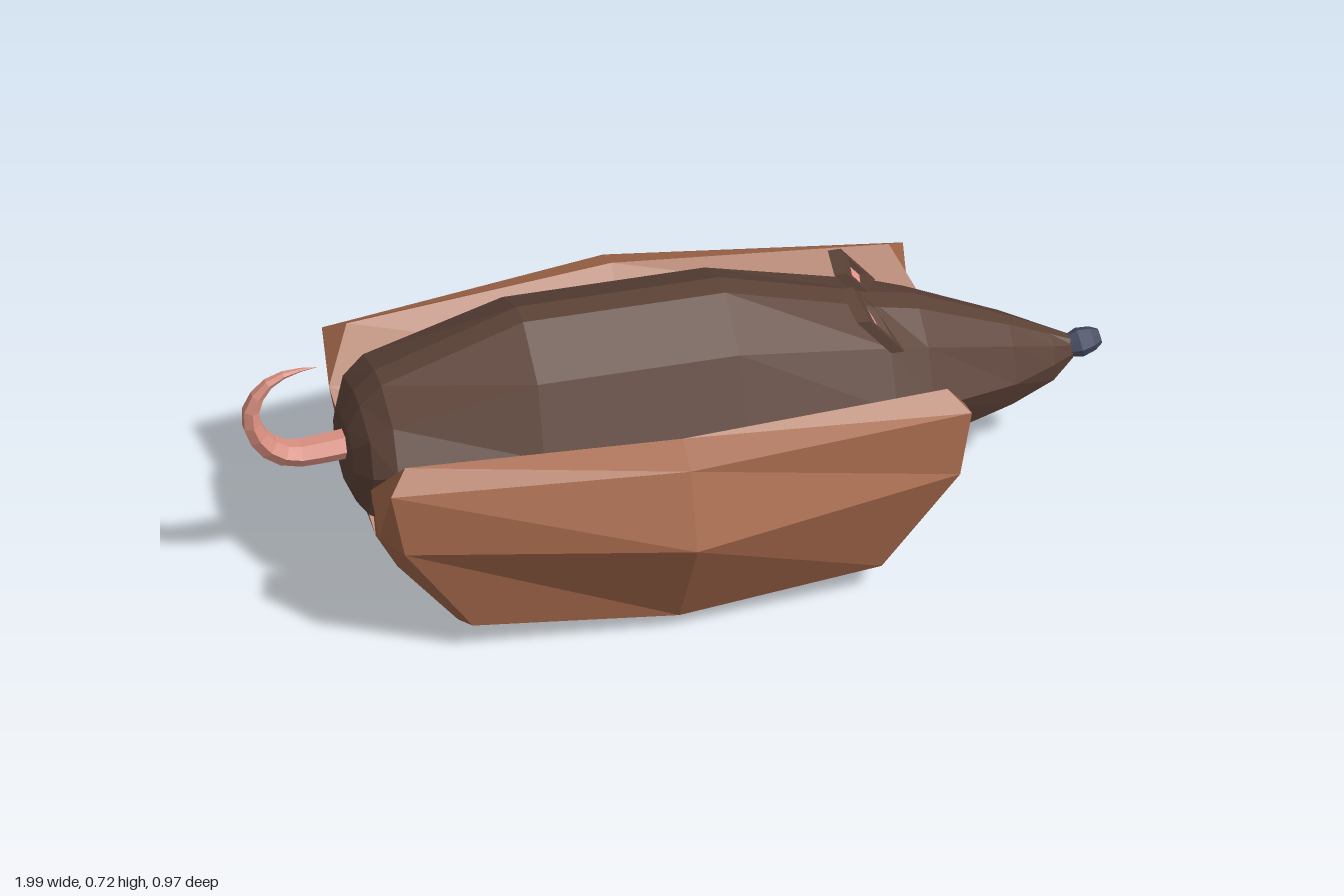
import * as THREE from 'three';

const mat = (color, extra = {}) => new THREE.MeshStandardMaterial({ color, flatShading: true, roughness: 0.9, ...extra });
const BUN = mat(0xa5694b), FUR = mat(0x5d4338), SKIN = mat(0xd98f80), PINK = mat(0xf0a090, { side: THREE.DoubleSide }), NOSE = mat(0x454a60);

function mesh(name, geometry, material) {
  const m = new THREE.Mesh(geometry, material);
  m.name = name;
  return m;
}

// Fan-triangulates polygons of [x, y, z] corners into one faceted geometry
function fromPolygons(polygons) {
  const pos = [];
  for (const p of polygons)
    for (let i = 1; i < p.length - 1; i++) pos.push(...p[0], ...p[i], ...p[i + 1]);
  const g = new THREE.BufferGeometry();
  g.setAttribute('position', new THREE.Float32BufferAttribute(pos, 3));
  g.computeVertexNormals();
  return g;
}

// Bun: one quarter (half length, half width), mirrored four ways
function bunGeometry() {
  // valley, inner wall, rim, outer rim, widest, lower edge, underside, keel
  const mid = [[0, 0.155, 0], [0, 0.40, 0.20], [0, 0.565, 0.34], [0, 0.53, 0.42], [0, 0.35, 0.485], [0, 0.045, 0.31], [0, 0, 0.15], [0, 0, 0]];
  const end = [[0.63, 0.155, 0], [0.69, 0.44, 0.20], [0.63, 0.55, 0.28], [0.675, 0.51, 0.33], [0.645, 0.35, 0.34], [0.475, 0.085, 0.29], [0.475, 0, 0.15], [0.475, 0, 0]];
  const [A, W, B, D, E, F, G, H] = end;
  const R = [0.58, 0.06, 0], S = [0.665, 0.28, 0.17];
  const quarter = [[A, W, S, R], [W, B, D, S], [S, D, E], [S, E, F, G], [R, S, G], [R, G, H]];
  for (let j = 0; j < mid.length - 1; j++) quarter.push([mid[j], mid[j + 1], end[j + 1], end[j]]);

  const all = [];
  for (const sx of [1, -1])
    for (const sz of [1, -1])
      for (const poly of quarter) {
        const p = poly.map(([x, y, z]) => [x * sx - 0.055, y, z * sz]);
        all.push(sx * sz < 0 ? p.reverse() : p);
      }
  return fromPolygons(all);
}

// Body and head: mirrored half sections joined along x
function bodyGeometry() {
  // x, then (z, y) of top, shoulder, side, low; then y of the belly
  const sections = [
    [-0.76, 0.03, 0.49, 0.08, 0.47, 0.10, 0.42, 0.08, 0.36, 0.33],
    [-0.73, 0.03, 0.55, 0.13, 0.52, 0.165, 0.44, 0.12, 0.31, 0.26],
    [-0.68, 0.03, 0.60, 0.145, 0.56, 0.20, 0.46, 0.14, 0.29, 0.23],
    [-0.35, 0.03, 0.72, 0.17, 0.645, 0.235, 0.48, 0.16, 0.30, 0.20],
    [0.12, 0.03, 0.72, 0.17, 0.645, 0.235, 0.48, 0.16, 0.30, 0.20],
    [0.48, 0.03, 0.615, 0.135, 0.575, 0.195, 0.44, 0.13, 0.29, 0.21],
    [0.57, 0.03, 0.595, 0.12, 0.55, 0.175, 0.42, 0.10, 0.27, 0.22],
    [0.78, 0.02, 0.505, 0.07, 0.48, 0.10, 0.395, 0.06, 0.31, 0.285],
    [0.88, 0.012, 0.455, 0.04, 0.44, 0.055, 0.40, 0.04, 0.345, 0.325],
    [0.93, 0.01, 0.43, 0.02, 0.42, 0.025, 0.40, 0.02, 0.385, 0.38],
  ];
  const rings = sections.map(([x, ...s]) => {
    const half = [0, 2, 4, 6].map((i) => [x, s[i + 1], s[i]]);
    return [...half, [x, s[8], 0], ...half.map(([a, b, c]) => [a, b, -c]).reverse()];
  });
  const polys = [[...rings[0]].reverse(), rings[rings.length - 1]];
  for (let i = 0; i < rings.length - 1; i++) {
    const n = rings[i].length;
    for (let j = 0; j < n; j++) {
      const k = (j + 1) % n;
      polys.push([rings[i][j], rings[i][k], rings[i + 1][k], rings[i + 1][j]]);
    }
  }
  return fromPolygons(polys);
}

// Tail: a curled tube whose rings shrink toward the tip
function tailGeometry() {
  const path = [[-0.70, 0.435], [-0.79, 0.425], [-0.89, 0.425], [-0.95, 0.47], [-0.977, 0.55], [-0.945, 0.62], [-0.89, 0.65], [-0.82, 0.655]];
  const curve = new THREE.CatmullRomCurve3(path.map(([x, y]) => new THREE.Vector3(x, y, 0)));
  const seg = 14, sides = 6;
  const g = new THREE.TubeGeometry(curve, seg, 0.035, sides);
  const p = g.attributes.position, v = new THREE.Vector3();
  for (let i = 0; i <= seg; i++) {
    const c = curve.getPointAt(i / seg);
    for (let j = 0; j <= sides; j++) {
      const k = i * (sides + 1) + j;
      v.fromBufferAttribute(p, k).sub(c).multiplyScalar(1 - (i / seg) ** 2).add(c);
      p.setXYZ(k, v.x, v.y, v.z);
    }
  }
  return g;
}

// Ear: a framed plate leaning back, with a recessed pink panel
function ear(side) {
  const outer = [[0.026, 0.61], [0.14, 0.565], [0.14, 0.665], [0.026, 0.68]];
  const inner = [[0.04, 0.615], [0.125, 0.595], [0.125, 0.647], [0.04, 0.662]];
  const toShape = (pts) => new THREE.Shape(pts.map(([z, y]) => new THREE.Vector2(-side * z, y)));
  const place = (g, offset) => {
    const p = g.attributes.position;
    for (let i = 0; i < p.count; i++) {
      const w = p.getX(i), y = p.getY(i), d = p.getZ(i) + offset;
      p.setXYZ(i, 0.485 - (y - 0.57) * 0.8 + d, y, -w);
    }
    g.computeVertexNormals();
    return g;
  };
  const frame = toShape(outer);
  frame.holes.push(toShape(inner));
  const g = new THREE.Group();
  g.name = side > 0 ? 'rightEar' : 'leftEar';
  g.add(mesh('earFrame', place(new THREE.ExtrudeGeometry(frame, { depth: 0.03, bevelEnabled: false }), -0.01), FUR));
  g.add(mesh('earPanel', place(new THREE.ShapeGeometry(toShape(inner)), 0.004), PINK));
  return g;
}

export function createModel() {
  const model = new THREE.Group();
  model.name = 'ratInBun';
  model.add(mesh('bun', bunGeometry(), BUN));
  model.add(mesh('body', bodyGeometry(), FUR));
  model.add(mesh('tail', tailGeometry(), SKIN));
  model.add(ear(1), ear(-1));

  // Nose: a short faceted knob tilted slightly upward
  const profile = [[0, -0.045], [0.022, -0.045], [0.034, -0.005], [0.028, 0.025], [0.017, 0.043], [0, 0.043]];
  const nose = mesh('nose', new THREE.LatheGeometry(profile.map(([r, h]) => new THREE.Vector2(r, h)), 8), NOSE);
  nose.position.set(0.955, 0.412, 0);
  nose.rotation.z = -Math.PI / 2 + 0.2;
  model.add(nose);
  return model;
}
